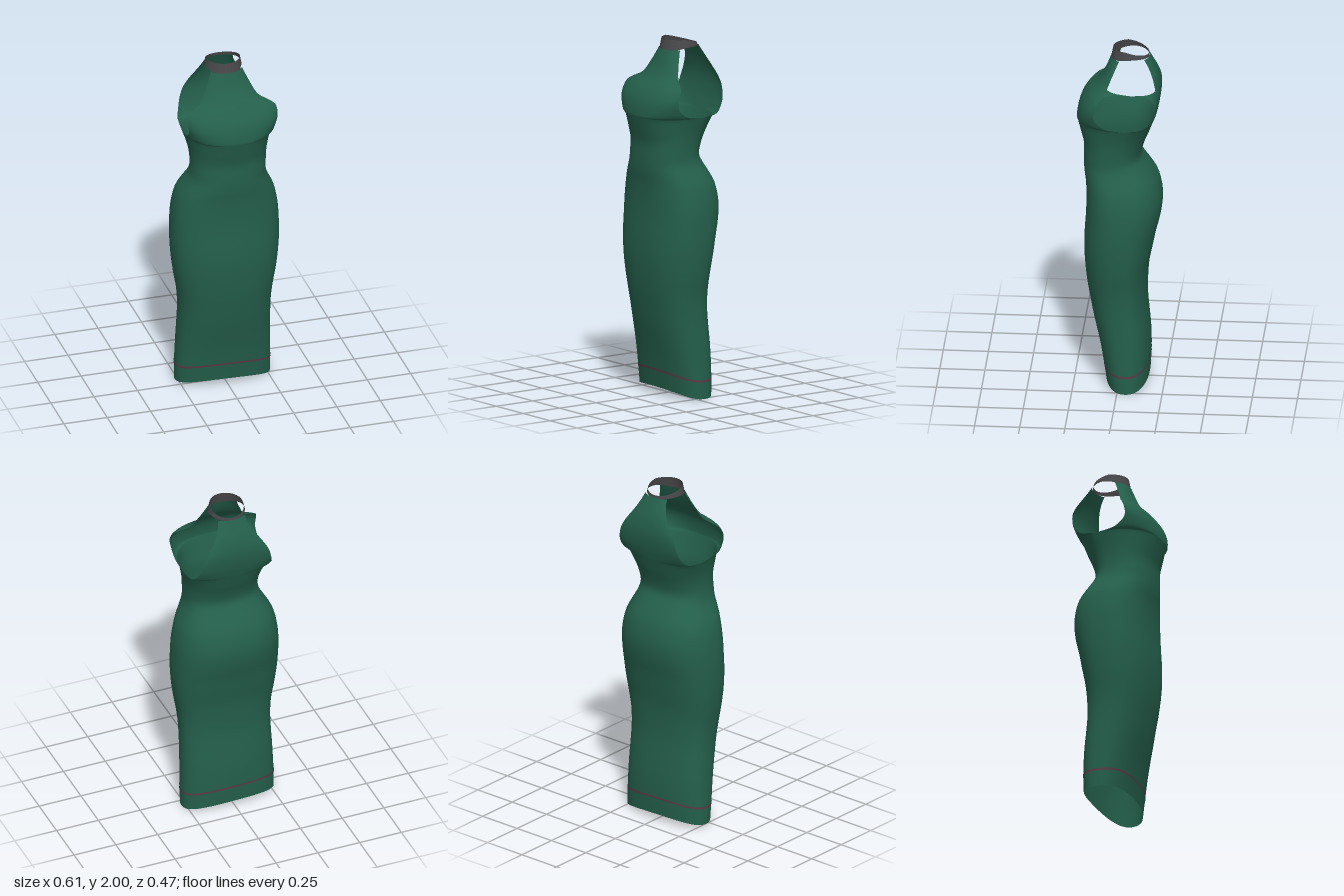
import * as THREE from 'three';
import { mergeGeometries, mergeVertices } from 'three/addons/utils/BufferGeometryUtils.js';

const COLS = 28;

// Skirt and bodice sections: height, half width, z of side seam, front z, back z
const BODY = [
  [0.0, 0.272, -0.045, 0.075, -0.165], [0.1, 0.272, -0.04, 0.09, -0.17],
  [0.2, 0.269, -0.035, 0.106, -0.17], [0.3, 0.266, -0.03, 0.125, -0.165],
  [0.4, 0.263, -0.02, 0.145, -0.157], [0.5, 0.263, -0.01, 0.163, -0.15],
  [0.6, 0.271, 0, 0.18, -0.152], [0.7, 0.288, 0, 0.191, -0.16],
  [0.8, 0.3, 0, 0.197, -0.18], [0.9, 0.306, 0, 0.195, -0.2],
  [1.0, 0.305, 0, 0.188, -0.225], [1.1, 0.298, 0, 0.185, -0.234],
  [1.2, 0.277, 0, 0.188, -0.215], [1.27, 0.243, 0.01, 0.197, -0.178],
  [1.32, 0.219, 0.02, 0.2, -0.145], [1.37, 0.211, 0.03, 0.2, -0.121],
  [1.44, 0.212, 0.02, 0.2, -0.136], [1.51, 0.223, 0, 0.217, -0.165],
  [1.585, 0.245, -0.04, 0.236, -0.192],
];
// Panels above the armhole: height, half width of edge, edge z, centre z
const FRONT = [
  [1.585, 0.245, -0.04, 0.236], [1.6, 0.25, 0.065, 0.238], [1.65, 0.252, 0.125, 0.23],
  [1.7, 0.258, 0.128, 0.212], [1.745, 0.25, 0.11, 0.18], [1.77, 0.215, 0.09, 0.155],
  [1.8, 0.162, 0.064, 0.123], [1.86, 0.128, 0.038, 0.083], [1.945, 0.09, 0.0, 0.05],
];
const BACK = [
  [1.585, 0.245, -0.04, -0.192], [1.6, 0.238, -0.14, -0.197], [1.65, 0.218, -0.192, -0.212],
  [1.7, 0.205, -0.208, -0.222], [1.75, 0.187, -0.213, -0.227], [1.8, 0.158, -0.207, -0.223],
  [1.86, 0.118, -0.188, -0.208], [1.91, 0.092, -0.165, -0.186], [1.955, 0.078, -0.138, -0.164],
];

function gridGeometry(rows, cols, point) {
  const pos = [], index = [];
  for (let i = 0; i <= rows; i++)
    for (let j = 0; j <= cols; j++) pos.push(...point(i / rows, j / cols));
  for (let i = 0; i < rows; i++)
    for (let j = 0; j < cols; j++) {
      const a = i * (cols + 1) + j, d = a + cols + 1;
      index.push(a, a + 1, d + 1, a, d + 1, d);
    }
  const g = new THREE.BufferGeometry();
  g.setAttribute('position', new THREE.Float32BufferAttribute(pos, 3));
  g.setIndex(index);
  return g;
}

// Half of a garment: smooth curves along the side edge and the centre, joined by rounded arcs
function halfShell(table, side, { open = 0, from = 0, to = 1, grow = 1, rows = table.length * 3 - 3 } = {}) {
  const edge = new THREE.CatmullRomCurve3(table.map(r => new THREE.Vector3(r[1], r[0], r[2])), false, 'catmullrom');
  const mid = new THREE.CatmullRomCurve3(table.map(r => new THREE.Vector3(0, r[0], r[3])), false, 'catmullrom');
  return gridGeometry(rows, COLS, (v, s) => {
    const t = from + (to - from) * v;
    const e = edge.getPoint(t), c = mid.getPoint(t);
    const max = Math.PI / 2 * (1 - open * Math.min(1, t * 2));
    const a = (s * 2 - 1) * max, p = 0.84;
    const arc = q => Math.pow(Math.max(0, Math.cos(q)), p);
    const wide = q => Math.sign(q) * Math.pow(Math.abs(Math.sin(q)), p);
    const k = (arc(a) - arc(max)) / (1 - arc(max));
    let x = side * e.x * wide(a) / wide(max) * grow;
    const z = e.z + (c.z - e.z) * k * grow;
    // wavy, slightly tilted hem
    const fade = 1 - THREE.MathUtils.smoothstep(e.y, 0.1, 0.5);
    const y = e.y + fade * (0.012 + 0.03 * Math.cos(a) ** 2 - 0.027 * x);
    x += 0.012 * THREE.MathUtils.smoothstep(e.y, 1.2, 1.45);
    return [x, y, z];
  });
}

function weld(parts) {
  const g = mergeVertices(mergeGeometries(parts), 1e-4);
  g.computeVertexNormals();
  return g;
}

export function createModel() {
  const group = new THREE.Group();
  const material = (name, color) => {
    const m = new THREE.MeshStandardMaterial({ color, side: THREE.DoubleSide });
    m.name = name;
    return m;
  };
  const add = (name, geometry, mat) => {
    const mesh = new THREE.Mesh(geometry, mat);
    mesh.name = name;
    group.add(mesh);
  };
  const green = material('greenFabric', 0x245f4b);
  const grey = material('greyCollar', 0x48484a);
  const red = material('dullRedTrim', 0x5c3a46);

  const bodyFront = BODY.map(r => [r[0], r[1], r[2], r[3]]);
  const bodyBack = BODY.map(r => [r[0], r[1], r[2], r[4]]);

  // Sleeveless dress with halter front and back panels
  add('dress', weld([
    halfShell(bodyFront, 1), halfShell(bodyBack, -1),
    halfShell(FRONT, 1, { open: 0.35 }), halfShell(BACK, -1, { open: 0.35 }),
  ]), green);

  // Thin trim line above the hem
  const n = BODY.length - 1;
  const trim = { from: 0.95 / n, to: 1.07 / n, grow: 1.008, rows: 1 };
  add('hemTrim', weld([halfShell(bodyFront, 1, trim), halfShell(bodyBack, -1, trim)]), red);

  // Collar band, deep at the front and narrow at the back
  add('collar', weld([gridGeometry(4, 48, (v, s) => {
    const a = s * Math.PI * 2, f = (1 + Math.cos(a)) / 2; // f = 1 at the front
    const low = 1.95 - 0.018 * f * f + 0.012 * Math.sin(a) ** 2;
    const high = 1.968 + 0.032 * Math.min(1, f * 1.6);
    const r = 0.103 - 0.008 * v;
    return [0.01 + r * Math.sin(a), low + (high - low) * v, -0.06 + (r + 0.008 * f) * Math.cos(a) - 0.005 * v];
  })]), grey);

  return group;
}
